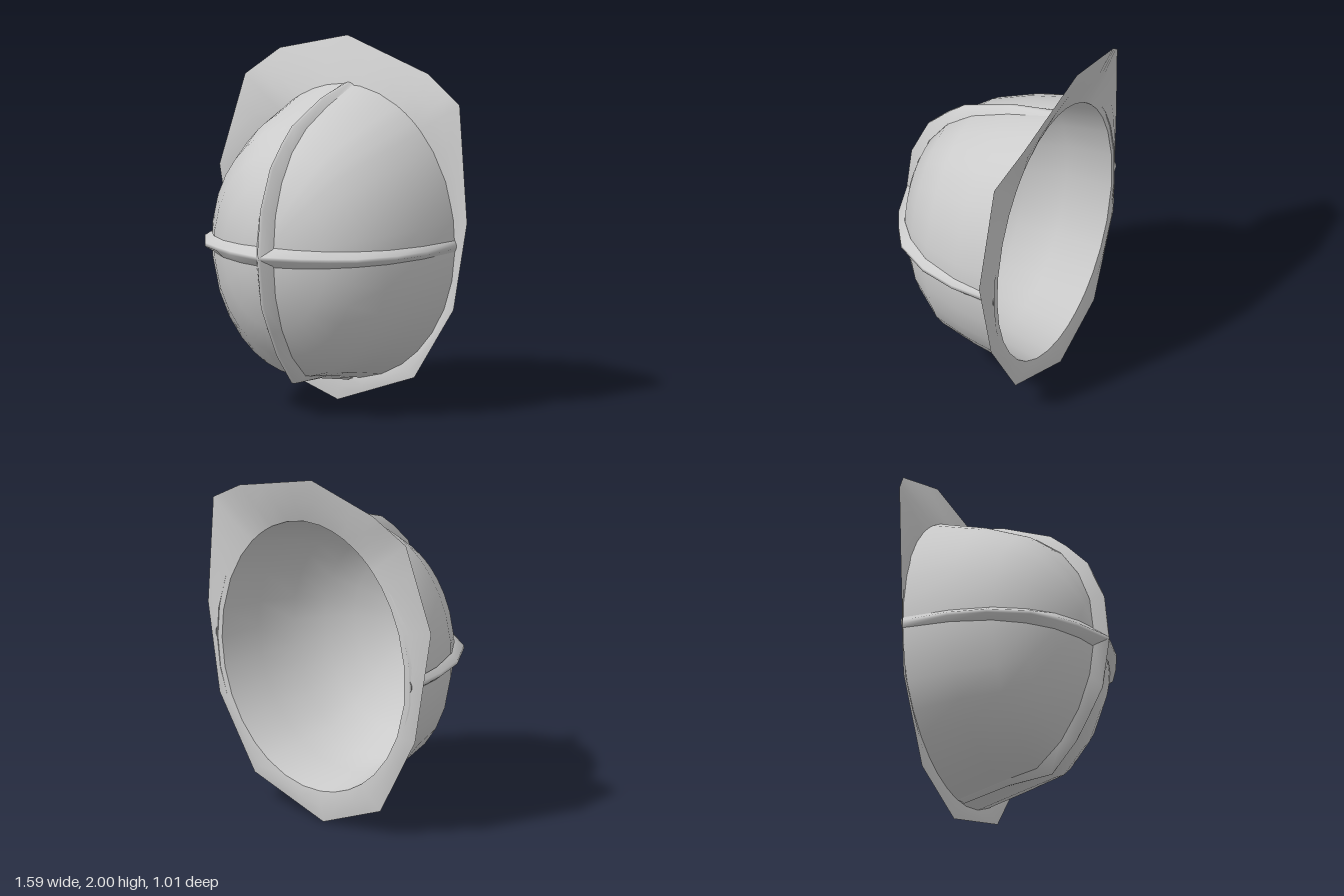
import * as THREE from 'three';
import { mergeVertices } from 'three/addons/utils/BufferGeometryUtils.js';

const CY = 0.92; // height of the dome's axis

// Skin a surface over equal-length loops of [x, y, z] points.
function loft(loops, closed) {
  const n = loops[0].length, index = [];
  for (let i = 0; i < loops.length - 1; i++) {
    for (let j = 0; j < (closed ? n : n - 1); j++) {
      const a = i * n + j, b = i * n + (j + 1) % n;
      index.push(a, a + n, b + n, a, b + n, b);
    }
  }
  let g = new THREE.BufferGeometry();
  g.setAttribute('position', new THREE.Float32BufferAttribute(loops.flat(2), 3));
  g.setIndex(index);
  g = mergeVertices(g, 1e-4);
  g.computeVertexNormals();
  return g;
}

export function createModel() {
  const group = new THREE.Group();
  const material = new THREE.MeshStandardMaterial({ color: 0xcccccc, side: THREE.DoubleSide });
  const add = (name, geometry) => {
    const mesh = new THREE.Mesh(geometry, material);
    mesh.name = name;
    group.add(mesh);
  };

  // Uneven brim outline, counter-clockwise from the right-hand side
  const corners = [
    [0.79, 1.06, -0.36], [0.71, 1.7, -0.41], [0.47, 1.84, -0.47], [-0.07, 2, -0.5],
    [-0.5, 1.89, -0.49], [-0.68, 1.74, -0.42], [-0.8, 1.24, -0.35], [-0.71, 0.6, -0.38],
    [-0.47, 0.15, -0.39], [-0.07, 0, -0.4], [0.43, 0.17, -0.39], [0.69, 0.57, -0.38],
  ];
  const outline = [];
  corners.forEach((p, i) => {
    const q = corners[(i + 1) % corners.length];
    for (let k = 0; k < 3; k++) outline.push(p.map((v, c) => v + (q[c] - v) * k / 3));
  });

  // Egg-shaped sections from front to back: depth and the radii on each side
  const sections = {
    z: [0.45, 0.42, 0.35, 0.24, 0.09, -0.13, -0.4],
    side: [0, 0.17, 0.33, 0.46, 0.57, 0.65, 0.69],
    up: [0, 0.23, 0.4, 0.55, 0.66, 0.75, 0.83],
    down: [0, 0.22, 0.41, 0.58, 0.71, 0.74, 0.79],
  };
  // scale shrinks the shell towards the middle of its open edge
  const shell = (scale) => sections.z.map((z, i) => outline.map(([x, y]) => {
    const a = Math.atan2(y - CY, x);
    const ry = (y > CY ? sections.up : sections.down)[i];
    return [scale * sections.side[i] * Math.cos(a), CY + scale * ry * Math.sin(a), scale * (z + 0.4) - 0.4];
  }));
  // flare from a shell's open edge to the outline, bulging by dz halfway
  const flare = (edge, dz) => {
    const middle = edge.map((p, i) => p.map((v, c) => (v + outline[i][c]) / 2 + (c === 2 ? dz : 0)));
    return loft([edge, middle, outline], true);
  };

  // Outer dome and inner lining, each running out to the same brim edge
  const outer = shell(1), inner = shell(0.95);
  add('dome', loft(outer, true));
  add('lining', loft(inner, true));
  add('brimFront', flare(outer[6], 0.005));
  add('brimBack', flare(inner[6], -0.01));

  // Four raised ribs meeting at the front; one crest point [radius, z] per section
  const sideCrest = [[0, 0.51], [0.23, 0.44], [0.36, 0.37], [0.49, 0.285], [0.62, 0.08], [0.68, -0.13], [0.7, -0.4]];
  const topCrest = [[0, 0.51], [0.26, 0.48], [0.48, 0.38], [0.6, 0.26], [0.68, 0.16], [0.79, -0.13], [0.84, -0.41]];
  const bottomCrest = [[0, 0.51], [0.28, 0.47], [0.43, 0.39], [0.57, 0.31], [0.74, 0.16], [0.75, -0.1], [0.8, -0.38]];
  const rib = (name, crest, radii, angle) => {
    const c = Math.cos(angle), s = Math.sin(angle);
    const loops = crest.map(([r, z], i) => {
      const foot = radii[i], fz = sections.z[i], w = 0.055 - i * 0.004;
      return [[-w, foot, fz], [-0.01, r, z], [0.01, r, z], [w, foot, fz]]
        .map(([t, rr, zz]) => [rr * c - t * s, CY + rr * s + t * c, zz]);
    });
    add(name, loft(loops, false));
  };
  rib('leftRib', sideCrest, sections.side, 0);
  rib('upperRib', topCrest, sections.up, Math.PI / 2);
  rib('rightRib', sideCrest, sections.side, Math.PI);
  rib('lowerRib', bottomCrest, sections.down, -Math.PI / 2);

  return group;
}
